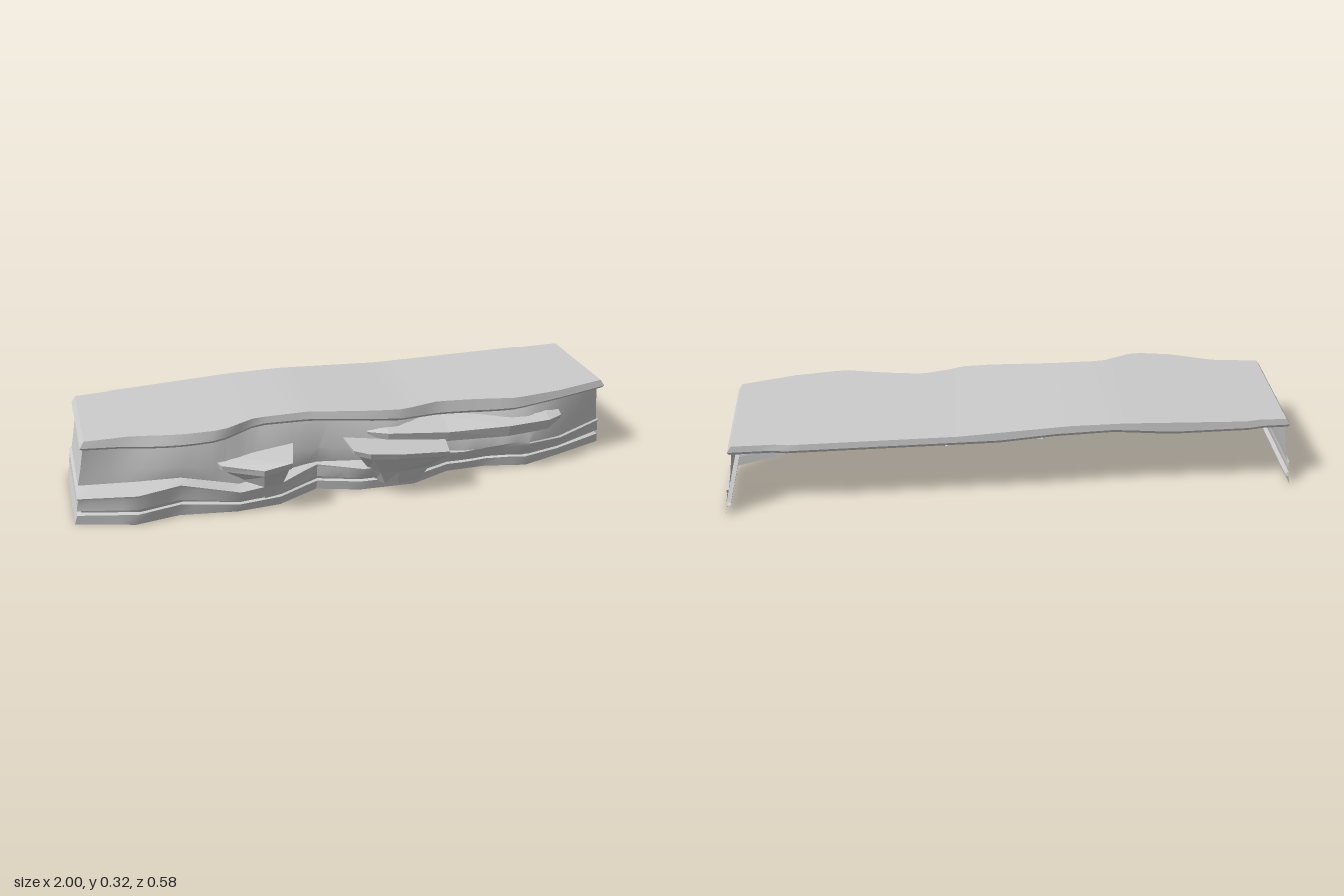
import * as THREE from 'three';
import { toCreasedNormals } from 'three/addons/utils/BufferGeometryUtils.js';

// Skin a list of equal-length rows of [x, y, z]; a closed loft gets strip caps where asked.
function loft(rows, { closed = false, top = false, bottom = false } = {}) {
  const m = rows[0].length, index = [];
  const quad = (a, b, c, d) => index.push(a, b, c, a, c, d);
  for (let i = 0; i < rows.length - 1; i++) {
    for (let j = 0; j < (closed ? m : m - 1); j++) {
      const k = (j + 1) % m;
      quad(i * m + j, i * m + k, (i + 1) * m + k, (i + 1) * m + j);
    }
  }
  const t = (rows.length - 1) * m;
  for (let j = 0; j + 1 < m / 2; j++) {
    if (top) quad(t + j, t + j + 1, t + m - 2 - j, t + m - 1 - j);
    if (bottom) quad(m - 1 - j, m - 2 - j, j + 1, j);
  }
  const g = new THREE.BufferGeometry();
  g.setAttribute('position', new THREE.Float32BufferAttribute(rows.flat(2), 3));
  g.setIndex(index);
  return g;
}

// Linear lookup in a list of [x, value] points.
function at(points, x) {
  for (let i = 1; i < points.length; i++) {
    const [x0, a] = points[i - 1], [x1, b] = points[i];
    if (x <= x1) return a + (b - a) * Math.max(0, (x - x0) / (x1 - x0));
  }
  return points[points.length - 1][1];
}

// Outlines along the width: front depth (z) or height (y)
const baseZ = [[-1, .12], [-.8, .18], [-.65, .155], [-.45, .185], [-.3, .175], [-.15, .1], [0, .15],
  [.2, .16], [.35, .1], [.5, .1], [.65, .135], [.8, .09], [1, .025]];
const ledgeZ = [[-1, .14], [-.8, .2], [-.65, .18], [-.45, .218], [-.3, .205], [-.15, .115], [0, .195],
  [.2, .2], [.35, .14], [.5, .15], [.65, .185], [.8, .13], [1, .05]];
const footZ = [[-1, .05], [-.8, .1], [-.65, .13], [-.45, .16], [-.15, .1], [.1, .15],
  [.35, .13], [.65, .183], [.8, .125], [1, .047]];
const slabZ = [[-1, .115], [-.83, .125], [-.67, .17], [-.52, .185], [-.39, .13], [-.2, .13], [.05, .16],
  [.15, .165], [.31, .13], [.46, .15], [.61, .18], [.8, .16], [1, .115]];
const slabTop = [[-1, .3], [-.8, .305], [-.4, .32], [-.2, .32], [.2, .3], [1, .3]];
const slabBottom = [[-1, .265], [-.78, .255], [-.57, .265], [-.36, .285], [-.15, .28], [.05, .265],
  [.3, .245], [.52, .245], [.8, .262], [1, .265]];
const wave = [[-1, 0], [-.65, .022], [-.45, -.015], [-.2, 0], [.2, 0], [.42, -.014], [.62, .012], [.8, -.012], [1, 0]];

const columns = [];
for (let i = 0; i <= 40; i++) columns.push(-1 + i * .05);

// Layered wall, open at the back: one row per stratum edge, running back, front, back
function wallGeometry() {
  const mix = (a, b, t) => x => at(a, x) * (1 - t) + at(b, x) * t;
  const topZ = x => at(slabZ, x) - .035;
  const midZ = x => .6 * at(footZ, x) + .4 * topZ(x) + .018 * (1 - x * x);
  const strata = [
    [0, 1, x => at(baseZ, x), 0],
    [.038, .99, x => at(baseZ, x) + .011, .4],
    [.042, .977, x => at(baseZ, x), .4],
    [.052, .975, x => at(baseZ, x) + .005, .5],
    [.055, .99, mix(baseZ, ledgeZ, .5), .5],
    [.094, .982, x => at(ledgeZ, x) - .004, 1],
    [.105, .985, x => at(ledgeZ, x), 1],
    [.109, .975, x => at(footZ, x), 1],
    [.17, .962, midZ, .3],
    [0, .945, topZ, 0],
  ];
  const rows = strata.map(([y, w, z, k], i) => {
    const h = x => i === strata.length - 1 ? at(slabBottom, x) + .004 : y + k * at(wave, x);
    return [[-w, h(-1), -.26], ...columns.map(x => [x * w, h(x), z(x)]), [w, h(1), -.26]];
  });
  return toCreasedNormals(loft(rows), .55);
}

// Overhanging top slab: hollow underneath, with an inturned lower rim
function slabGeometry() {
  const rings = [
    [.942, .036, slabBottom, .002],
    [.952, .012, slabBottom, 0],
    [.957, 0, slabBottom, .012],
    [.942, .004, slabTop, 0],
  ];
  const rows = rings.map(([w, inset, heights, lift]) => [
    ...columns.map(x => [x * w, at(heights, x) + lift, at(slabZ, x) - inset]),
    ...columns.slice().reverse().map(x => [x * w, Math.max(.265, at(heights, x)) + lift,
      (Math.abs(x) > .85 ? -.281 : -.289) + inset * .5]),
  ]);
  return toCreasedNormals(loft(rows, { closed: true, top: true }), .5);
}

// Jutting shelf: flat top with a thin lip, undercut down to the strata below
function shelfGeometry(top, lip, foot) {
  const ring = (shrink, back, y) => top.map(([x, h, z]) => [
    x + (foot.x - x) * shrink, y === undefined ? h : y(h), z - (z > .12 ? back : 0)]);
  return loft([
    ring(.55, .09, () => .03),
    ring(.38, .065, () => foot.y),
    ring(.12, .02, h => h - lip - .008),
    ring(.03, .008, h => h - lip),
    ring(0, 0),
  ], { closed: true, top: true, bottom: true });
}

// Long bevelled wedge on the right: [x, front z, top y, front edge y, bottom y]
function ridgeGeometry() {
  const sections = [[.03, .14, .235, .22, .19], [.1, .165, .243, .215, .17], [.32, .183, .238, .2, .16],
    [.55, .196, .232, .2, .155], [.71, .185, .228, .2, .158], [.77, .155, .215, .2, .178]];
  return loft(sections.map(([x, z, top, edge, bottom]) => [
    [x, top, .09], [x, top, .115], [x, edge, z], [x, bottom, z - .012], [x, bottom - .01, .09],
  ]), { closed: true, top: true, bottom: true });
}

export function createModel() {
  const group = new THREE.Group();
  const smooth = new THREE.MeshStandardMaterial({ color: 0xcccccc, side: THREE.DoubleSide });
  const faceted = new THREE.MeshStandardMaterial({ color: 0xcccccc, flatShading: true });
  const add = (name, geometry, material) => {
    const mesh = new THREE.Mesh(geometry, material);
    mesh.name = name;
    if (!geometry.attributes.normal) geometry.computeVertexNormals();
    group.add(mesh);
  };
  add('layeredWall', wallGeometry(), smooth);
  add('topSlab', slabGeometry(), smooth);
  add('smallShelf', shelfGeometry(
    [[-.53, .185, .1], [-.5, .183, .185], [-.37, .187, .27], [-.27, .2, .263], [-.23, .203, .1]],
    .025, { x: -.34, y: .085 }), faceted);
  add('wideShelf', shelfGeometry(
    [[-.06, .205, .09], [-.05, .204, .24], [0, .2, .275], [.1, .192, .287],
      [.29, .172, .275], [.32, .168, .13], [.3, .175, .09]],
    .022, { x: .15, y: .09 }), faceted);
  add('rightRidge', ridgeGeometry(), faceted);
  return group;
}
